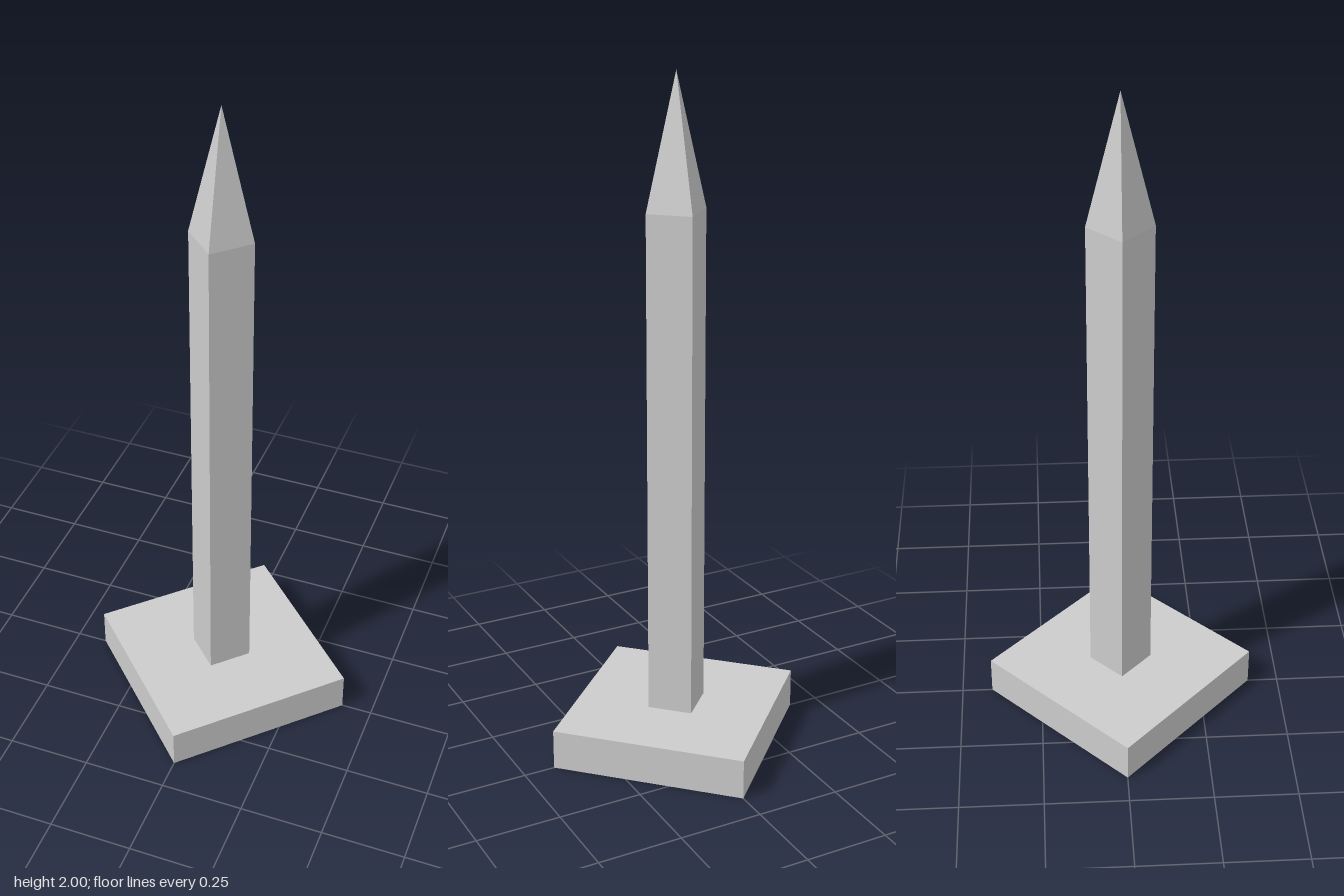
import * as THREE from 'three';

const material = new THREE.MeshStandardMaterial({ color: 0xcccccc, flatShading: true });

// Four-sided prism or pyramid with its corners on the x and z axes
function fourSided(name, topRadius, bottomRadius, bottom, top) {
  const geometry = new THREE.CylinderGeometry(topRadius, bottomRadius, top - bottom, 4);
  const mesh = new THREE.Mesh(geometry, material);
  mesh.name = name;
  mesh.position.y = (bottom + top) / 2;
  return mesh;
}

export function createModel() {
  const baseTop = 0.12, shaftTop = 1.62, tip = 2;
  const baseRadius = 0.407, shaftRadius = 0.094;

  const group = new THREE.Group();
  group.name = 'obelisk';
  group.add(
    fourSided('base', baseRadius, baseRadius, 0, baseTop),
    fourSided('shaft', shaftRadius, shaftRadius, baseTop, shaftTop),
    fourSided('pointedCap', 0, shaftRadius, shaftTop, tip),
  );
  return group;
}
